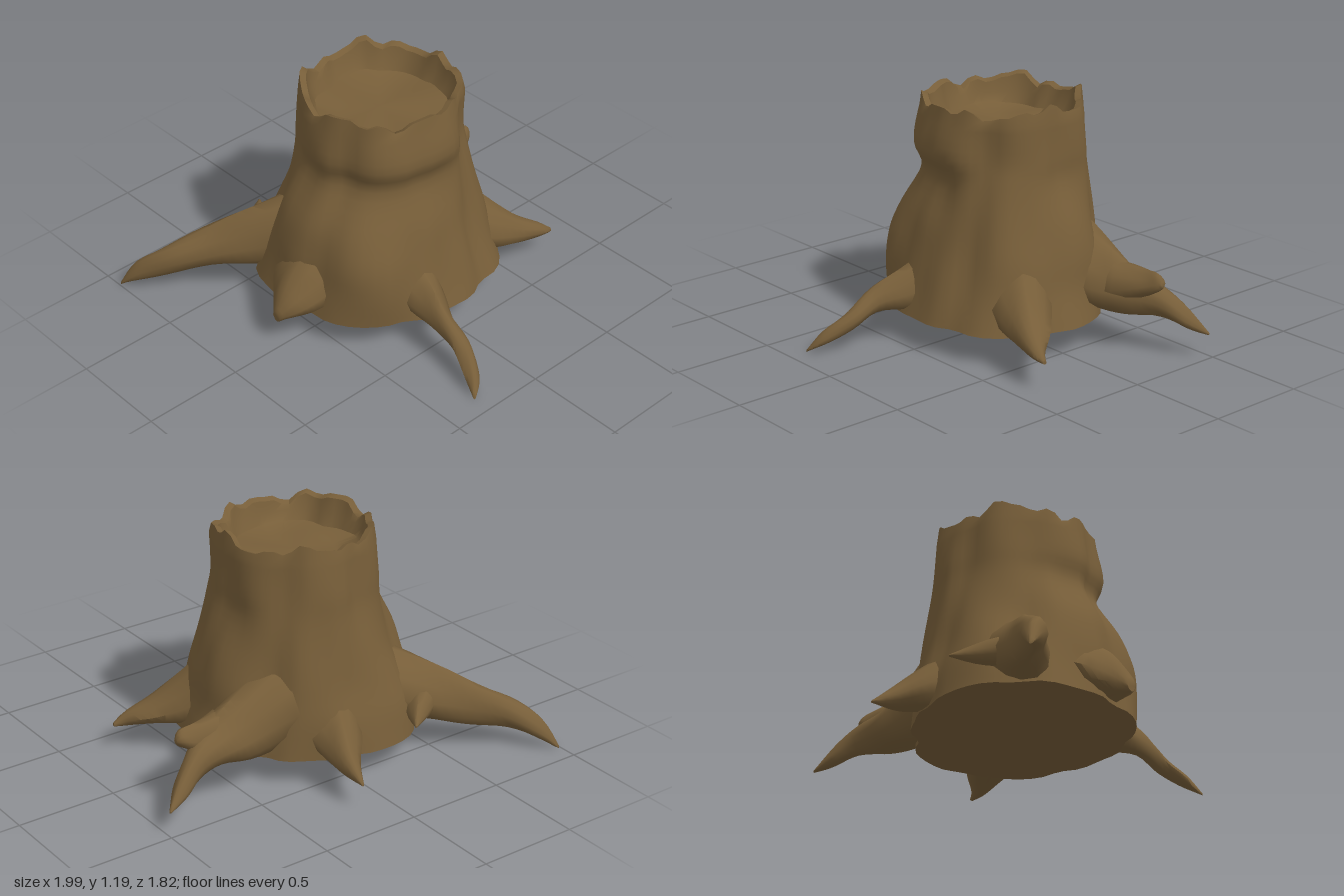
import * as THREE from 'three';
import { toCreasedNormals } from 'three/addons/utils/BufferGeometryUtils.js';

const V = (x, y, z) => new THREE.Vector3(x, y, z);
const SEG = 56;
const CZ = -0.07; // trunk axis offset in z

// Catmull-Rom through four values
const cat = (a, b, c, d, t) =>
  b + 0.5 * t * (c - a + t * (2 * a - 5 * b + 4 * c - d + t * (3 * (b - c) + d - a)));

function sample(list, t) {
  const n = list.length - 1, i = Math.min(Math.floor(t), n - 1);
  const g = (k) => list[Math.max(0, Math.min(n, k))];
  return cat(g(i - 1), g(i), g(i + 1), g(i + 2), t - i);
}

function sampleLoop(list, t) {
  const n = list.length, i = Math.floor(t);
  const g = (k) => list[(k + n) % n];
  return cat(g(i - 1), g(i), g(i + 1), g(i + 2), t - i);
}

// Skin a stack of closed rings
function loft(rings, crease) {
  const n = rings[0].length, pos = [], idx = [];
  rings.forEach((r) => r.forEach((p) => pos.push(p.x, p.y, p.z)));
  for (let i = 0; i < rings.length - 1; i++) {
    for (let j = 0; j < n; j++) {
      const k = (j + 1) % n, a = i * n, b = a + n;
      idx.push(a + j, b + j, a + k, a + k, b + j, b + k);
    }
  }
  const g = new THREE.BufferGeometry();
  g.setAttribute('position', new THREE.Float32BufferAttribute(pos, 3));
  g.setIndex(idx);
  return toCreasedNormals(g, crease);
}

// Trunk radius at each height for E, SE, S, SW, W, NW, N, NE
const LEVELS = [0.14, 0.3, 0.45, 0.6, 0.8, 0.93, 1.1];
const PROFILES = [
  [0.56, 0.52, 0.50, 0.46, 0.39, 0.385, 0.375],
  [0.58, 0.53, 0.49, 0.45, 0.41, 0.385, 0.385],
  [0.54, 0.49, 0.45, 0.42, 0.37, 0.41, 0.37],
  [0.57, 0.57, 0.55, 0.49, 0.39, 0.42, 0.39],
  [0.59, 0.56, 0.54, 0.50, 0.39, 0.40, 0.38],
  [0.61, 0.57, 0.51, 0.45, 0.40, 0.39, 0.38],
  [0.52, 0.50, 0.46, 0.43, 0.39, 0.38, 0.36],
  [0.47, 0.46, 0.44, 0.42, 0.40, 0.39, 0.38],
];

// Vertical folds in the bark, drifting sideways with height
const folds = (a, y) =>
  0.016 * (0.6 - 2 * Math.pow(Math.abs(Math.sin(3.5 * a + 1.1 * y + 0.4)), 8) * (1.1 - 0.6 * y)) +
  0.009 * Math.sin(9 * a - 4 * y) * Math.sin(6 * y + 2 * a);

// Broken rim height
const rimY = (a) => 1.152 + 0.018 * Math.sin(5 * a + 0.5) + 0.014 * Math.sin(11 * a + 1)
  + 0.01 * Math.sin(17 * a) - 0.02 * Math.exp(-8 * (a - 1.5) ** 2);

function ring(fn) {
  return Array.from({ length: SEG }, (_, j) => {
    const a = (j / SEG) * Math.PI * 2;
    const [r, y] = fn(a);
    return V(r * Math.cos(a), y, CZ + r * Math.sin(a));
  });
}

function trunkRadius(a, t) {
  const y = sample(LEVELS, t);
  const r = sampleLoop(PROFILES.map((p) => sample(p, t)), (a / (Math.PI * 2)) * 8);
  return r + folds(a, y);
}

function trunkRings() {
  const rings = [];
  for (let i = 0; i <= 24; i++) {
    const t = i / 4;
    rings.push(ring((a) => [trunkRadius(a, t), sample(LEVELS, t)]));
  }
  rings.push(ring((a) => [trunkRadius(a, 6) - 0.01, rimY(a)]));
  return rings;
}

// Inner wall and sunken floor
function hollowRings() {
  const inner = (a, d) => trunkRadius(a, 6) - d;
  return [
    ring((a) => [inner(a, 0.01), rimY(a)]),
    ring((a) => [inner(a, 0.04), rimY(a) - 0.012]),
    ring((a) => [inner(a, 0.055), 1.08]),
    ring((a) => [inner(a, 0.08), 1.03 + 0.008 * Math.sin(4 * a)]),
    ring((a) => [0.2, 1.015 + 0.01 * Math.sin(3 * a)]),
    ring(() => [0.0001, 1.02]),
  ];
}

function undersideRings() {
  return [
    ring(() => [0.0001, 0.15]),
    ring((a) => [0.35, 0.145]),
    ring((a) => [trunkRadius(a, 0), 0.14]),
  ];
}

// Tapered root; each point is x, y, z, half width, half height
function rootGeometry(points) {
  const steps = (points.length - 1) * 4, sides = 12, rings = [];
  const at = (t) => [0, 1, 2, 3, 4].map((c) => sample(points.map((p) => p[c]), t));
  for (let i = 0; i <= steps; i++) {
    const t = (i / steps) * (points.length - 1);
    const [x, y, z, w, h] = at(t);
    const p = at(Math.max(0, t - 0.1)), q = at(Math.min(points.length - 1, t + 0.1));
    const dir = V(q[0] - p[0], 0, q[2] - p[2]).normalize();
    const side = V(0, 0, 0).crossVectors(dir, V(0, 1, 0));
    rings.push(Array.from({ length: sides }, (_, j) => {
      const a = (j / sides) * Math.PI * 2;
      const k = 1 + 0.07 * Math.sin(3 * a + 2.2 * t);
      const s = Math.sin(a);
      // flatter belly, ridged top
      return V(x, y + h * k * (s < 0 ? 0.9 * s : s), z)
        .addScaledVector(side, w * k * Math.cos(a) * (s > 0 ? 1 - 0.25 * s : 1));
    }));
  }
  const [x, y, z] = points[points.length - 1];
  rings.push(Array.from({ length: sides }, () => V(x, y, z)));
  return loft(rings, 0.9);
}

const ROOTS = {
  frontRoot: [[-0.12, 0.32, 0.2, 0.16, 0.18], [-0.16, 0.25, 0.42, 0.1, 0.11], [-0.2, 0.21, 0.58, 0.05, 0.07],
    [-0.21, 0.14, 0.72, 0.045, 0.05], [-0.26, 0.07, 0.84, 0.035, 0.035], [-0.31, 0.005, 0.905, 0.005, 0.005]],
  backRightRoot: [[-0.25, 0.36, -0.3, 0.2, 0.22], [-0.48, 0.29, -0.47, 0.13, 0.16], [-0.65, 0.23, -0.6, 0.08, 0.12],
    [-0.82, 0.17, -0.72, 0.06, 0.085], [-0.93, 0.09, -0.84, 0.04, 0.055], [-0.99, 0.006, -0.905, 0.008, 0.006]],
  backRightSpur: [[-0.5, 0.28, -0.45, 0.11, 0.08], [-0.36, 0.27, -0.58, 0.06, 0.06], [-0.25, 0.26, -0.7, 0.005, 0.005]],
  backRoot: [[0.05, 0.34, -0.35, 0.2, 0.2], [0.08, 0.26, -0.52, 0.13, 0.13], [0.13, 0.19, -0.67, 0.06, 0.07],
    [0.15, 0.13, -0.81, 0.006, 0.006]],
  leftRoot: [[0.25, 0.38, -0.25, 0.22, 0.24], [0.48, 0.31, -0.28, 0.16, 0.17], [0.64, 0.28, -0.31, 0.11, 0.12],
    [0.78, 0.25, -0.37, 0.06, 0.08], [0.9, 0.18, -0.43, 0.04, 0.05], [0.99, 0.12, -0.48, 0.006, 0.006]],
  leftSpur: [[0.58, 0.3, -0.27, 0.1, 0.13], [0.74, 0.34, -0.3, 0.06, 0.075], [0.82, 0.365, -0.31, 0.035, 0.045],
    [0.845, 0.36, -0.31, 0.01, 0.01]],
  frontLeftRoot: [[0.25, 0.4, 0.08, 0.18, 0.25], [0.42, 0.28, 0.19, 0.15, 0.16], [0.58, 0.2, 0.28, 0.09, 0.08],
    [0.7, 0.16, 0.345, 0.04, 0.04], [0.768, 0.135, 0.362, 0.01, 0.01]],
  rightRoot: [[-0.4, 0.32, -0.05, 0.22, 0.18], [-0.56, 0.27, -0.03, 0.16, 0.13], [-0.66, 0.22, -0.02, 0.09, 0.08],
    [-0.72, 0.17, -0.02, 0.025, 0.03]],
};

export function createModel() {
  const group = new THREE.Group();
  group.name = 'treeStump';
  const bark = new THREE.MeshStandardMaterial({ color: 0x775e39 });
  bark.name = 'brown bark';
  const add = (name, geometry) => {
    const mesh = new THREE.Mesh(geometry, bark);
    mesh.name = name;
    group.add(mesh);
  };
  add('trunk', loft(trunkRings(), 0.9));
  add('hollowTop', loft(hollowRings(), 0.8));
  add('underside', loft(undersideRings(), 0.8));
  for (const [name, points] of Object.entries(ROOTS)) add(name, rootGeometry(points));
  return group;
}
